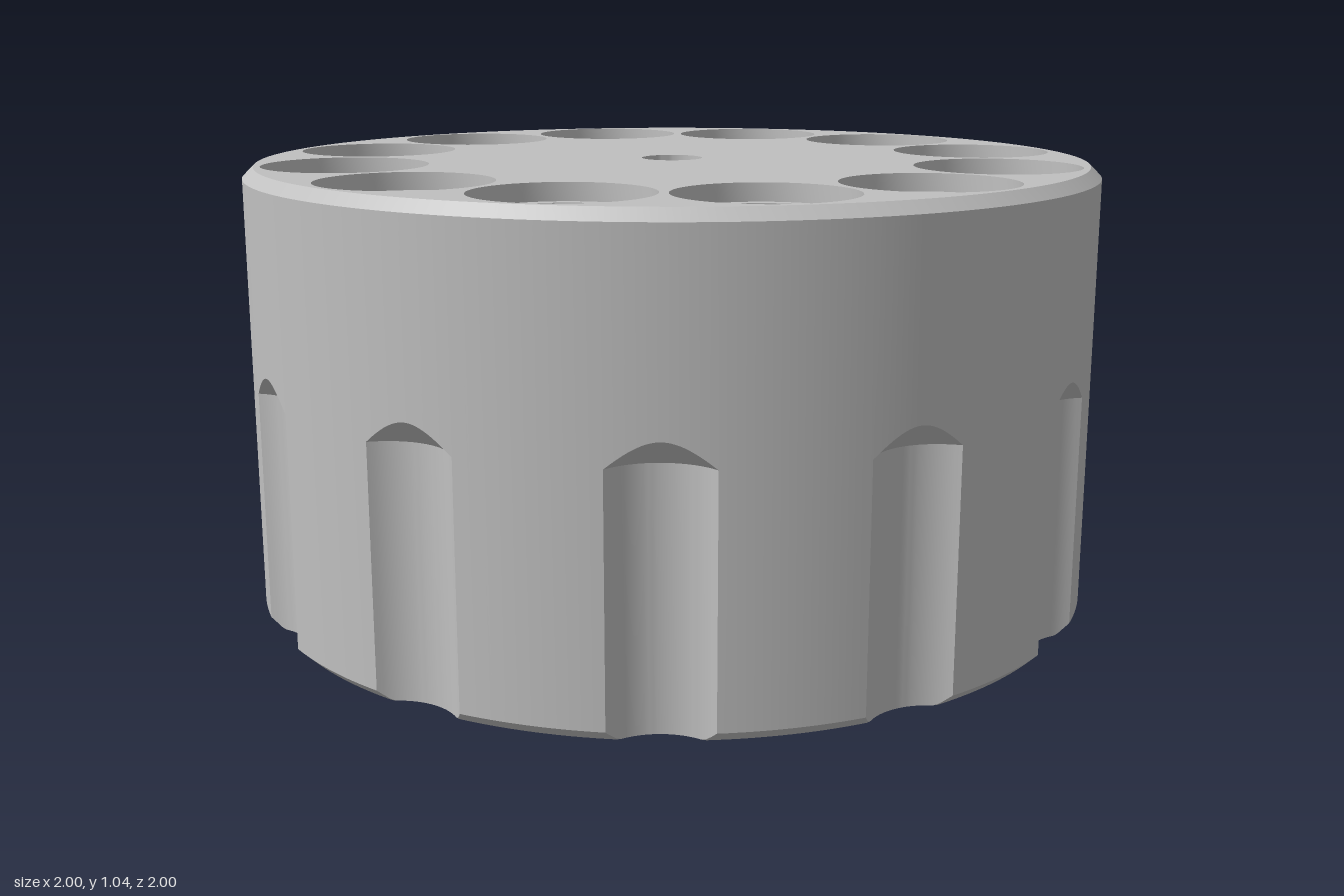
import * as THREE from 'three';
import { toCreasedNormals } from 'three/addons/utils/BufferGeometryUtils.js';

const N = 12, STEP = Math.PI * 2 / N;
const H = 1.045, R = 1, CH = 0.025;               // drum height, radius, chamfer
const FR = 0.1435, FC = 1.0885, FTOP = 0.555;     // flute cutter radius, axis distance, shoulder height
const BORE_AT = 0.77;                             // chamber circle radius
const HALF = Math.acos((R * R + FC * FC - FR * FR) / (2 * FC * R)); // flute half angle

// Radius of the flute floor at an angle from the flute's middle
const floorAt = (p) => Math.min(R, FC * Math.cos(p) - Math.sqrt(Math.max(0, FR * FR - (FC * Math.sin(p)) ** 2)));
// Height of the 45 degree flute end where it passes a given radius
const coneY = (p, rad) => FTOP + FR - Math.sqrt(FC * FC + rad * rad - 2 * FC * rad * Math.cos(p));

// Outer wall: columns of [radius, y] points swept around the drum
function wallGeometry() {
  const pos = [];
  const sweep = (mid, from, to, n, column) => {
    const cols = [];
    for (let i = 0; i <= n; i++) {
      const p = from + (to - from) * i / n, a = mid + p;
      cols.push(column(p).map(([r, y]) => new THREE.Vector3(r * Math.sin(a), y, r * Math.cos(a))));
    }
    const tri = (a, b, c) => {
      const area = b.clone().sub(a).cross(c.clone().sub(a)).length();
      if (area > 1e-9) for (const v of [a, b, c]) pos.push(v.x, v.y, v.z);
    };
    for (let i = 0; i < n; i++) {
      for (let j = 0; j < cols[i].length - 1; j++) {
        const a = cols[i][j], b = cols[i + 1][j], c = cols[i + 1][j + 1], d = cols[i][j + 1];
        tri(a, b, d);
        tri(b, c, d);
      }
    }
  };
  const top = [[R, H - CH], [R - CH, H]];
  const fluteColumn = (p) => {
    const f = floorAt(p), col = [[Math.min(R - CH, f), 0], [f, Math.max(0, f - R + CH)]];
    for (let k = 0; k <= 6; k++) {
      const r = f + (R - f) * k / 6;
      col.push([r, coneY(p, r)]);
    }
    return col.concat(top);
  };
  const landColumn = () => [[R - CH, 0], [R, CH], ...top];
  for (let i = 0; i < N; i++) {
    const mid = (i + 0.5) * STEP;
    sweep(mid, -HALF, HALF, 24, fluteColumn);
    sweep(mid, HALF, STEP - HALF, 12, landColumn);
  }
  const g = new THREE.BufferGeometry();
  g.setAttribute('position', new THREE.Float32BufferAttribute(pos, 3));
  return toCreasedNormals(g, 0.4);
}

// Flat end with the chamber holes and the centre hole
function endGeometry(outline, holeRadius) {
  const shape = new THREE.Shape(outline);
  const hole = (x, y, r) => shape.holes.push(new THREE.Path().absarc(x, y, r, 0, Math.PI * 2, true));
  hole(0, 0, 0.072);
  for (let i = 0; i < N; i++) hole(BORE_AT * Math.sin(i * STEP), BORE_AT * Math.cos(i * STEP), holeRadius);
  return new THREE.ShapeGeometry(shape, 24);
}

// Outline of an end, with or without flutes
function endOutline(fluted) {
  const pts = [];
  const add = (a, r) => pts.push(new THREE.Vector2(r * Math.cos(a), r * Math.sin(a)));
  for (let i = 0; i < N; i++) {
    const mid = (i + 0.5) * STEP;
    for (let k = 0; k < 24; k++) {
      const p = -HALF + 2 * HALF * k / 24;
      add(mid + p, fluted ? Math.min(R - CH, floorAt(p)) : R - CH);
    }
    for (let k = 0; k < 12; k++) add(mid + HALF + (STEP - 2 * HALF) * k / 12, R - CH);
  }
  return pts;
}

// Hole lining, profile running downwards so that it faces inwards
const lining = (profile) => toCreasedNormals(
  new THREE.LatheGeometry(profile.map(([r, y]) => new THREE.Vector2(r, y)), 48), 0.4);

export function createModel() {
  const group = new THREE.Group();
  const steel = new THREE.MeshStandardMaterial({ color: 0xc0c0c0 });
  steel.name = 'plain grey';
  const add = (name, geometry) => {
    const mesh = new THREE.Mesh(geometry, steel);
    mesh.name = name;
    group.add(mesh);
    return mesh;
  };

  add('flutedWall', wallGeometry());
  add('topFace', endGeometry(endOutline(false), 0.19).rotateX(-Math.PI / 2).translate(0, H, 0));
  add('bottomFace', endGeometry(endOutline(true), 0.115).rotateX(Math.PI / 2));
  add('centreHole', lining([[0.072, H], [0.072, 0]]));

  // Stepped chambers: rim recess, wide bore, narrow lip at the bottom
  const chamber = lining([[0.19, H], [0.19, H - 0.04], [0.165, H - 0.04], [0.165, 0.04], [0.115, 0.04], [0.115, 0]]);
  for (let i = 0; i < N; i++) {
    add('chamber' + (i + 1), chamber).position.set(
      BORE_AT * Math.sin(i * STEP), 0, BORE_AT * Math.cos(i * STEP));
  }
  return group;
}
